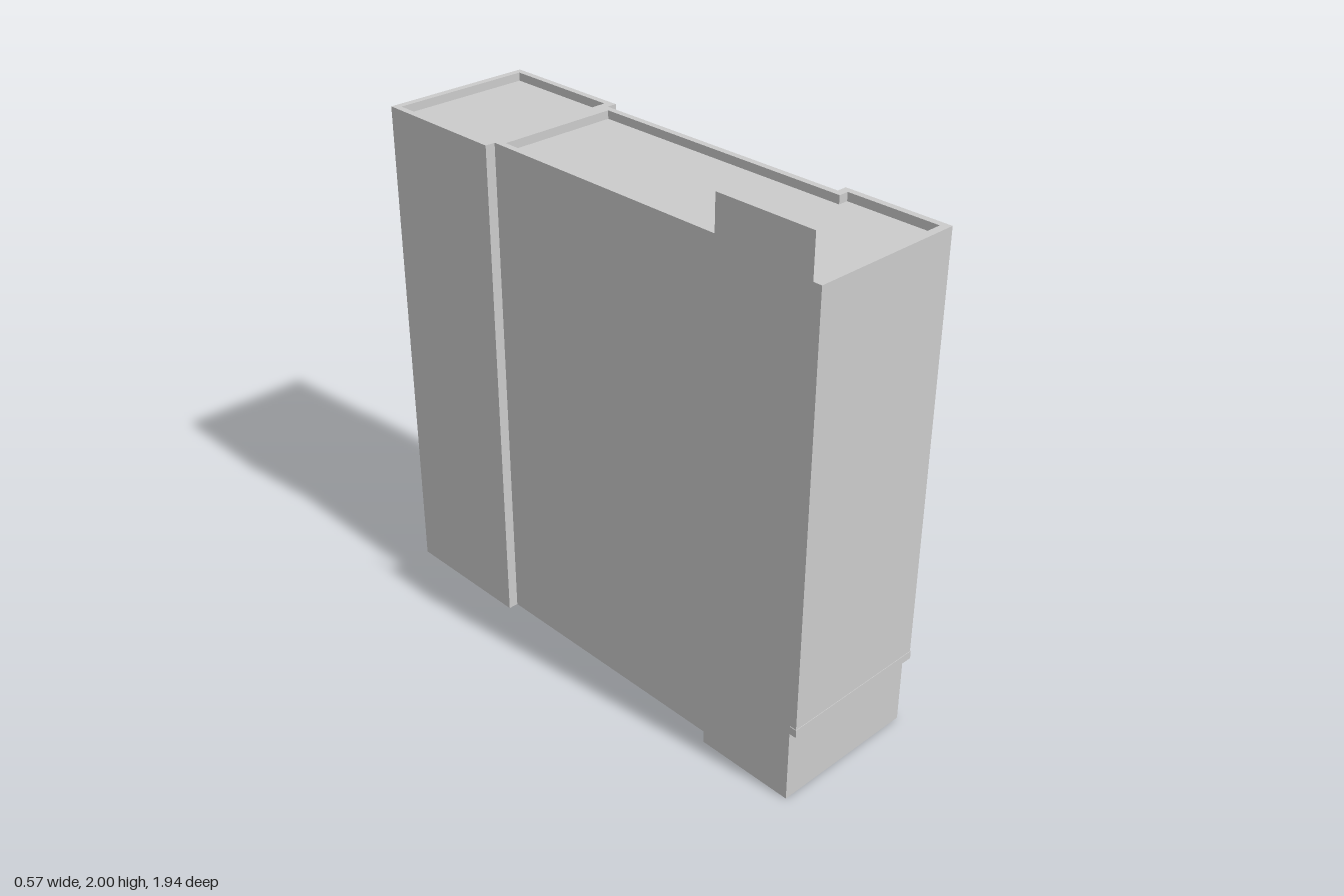
import * as THREE from 'three';

const H = 1.85;      // parapet top
const DECK = 1.82;   // recessed roof level
const material = new THREE.MeshStandardMaterial({ color: 0xcccccc, flatShading: true, side: THREE.DoubleSide });

// Upright wall along a list of [x, z] points, with no top or bottom.
function wallGeometry(points, y0, y1) {
  const positions = [];
  for (let i = 0; i + 1 < points.length; i++) {
    const [ax, az] = points[i];
    const [bx, bz] = points[i + 1];
    positions.push(ax, y0, az, bx, y0, bz, bx, y1, bz);
    positions.push(ax, y0, az, bx, y1, bz, ax, y1, az);
  }
  const geometry = new THREE.BufferGeometry();
  geometry.setAttribute('position', new THREE.Float32BufferAttribute(positions, 3));
  geometry.computeVertexNormals();
  return geometry;
}

// Level surface inside an [x, z] outline, with an optional opening.
function levelGeometry(outline, y, opening) {
  const toPlane = (list) => list.map(([x, z]) => new THREE.Vector2(x, -z));
  const shape = new THREE.Shape(toPlane(outline));
  if (opening) shape.holes.push(new THREE.Path(toPlane(opening)));
  return new THREE.ShapeGeometry(shape).rotateX(-Math.PI / 2).translate(0, y, 0);
}

const closed = (points) => [...points, points[0]];

// Mirrors a right-hand (+x) chain, front to back, into a full outline.
const mirrored = (half) => [...half, ...half.map(([x, z]) => [-x, z]).reverse()];

export function createModel() {
  const group = new THREE.Group();
  const add = (name, geometry) => {
    const mesh = new THREE.Mesh(geometry, material);
    mesh.name = name;
    group.add(mesh);
  };

  // Parapet rim, its inner faces and the sunken roof deck
  const addRoof = (name, outer, inner) => {
    add(name + 'ParapetTop', levelGeometry(outer, H, inner));
    add(name + 'ParapetInside', wallGeometry(closed(inner).reverse(), DECK, H));
    add(name + 'RoofDeck', levelGeometry(inner, DECK));
  };

  // Rear block: four walls, open underneath
  const rear = mirrored([[0.285, -0.458], [0.285, -0.971]]);
  add('rearWalls', wallGeometry(closed(rear), 0, H));
  addRoof('rear', rear, mirrored([[0.261, -0.49], [0.261, -0.945]]));

  // Front block and narrower middle block share one interior
  const mainHalf = (frontZ) => [[0.285, frontZ], [0.285, 0.57], [0.248, 0.57], [0.248, -0.458]];
  const half = mainHalf(0.945);
  const leftHalf = half.map(([x, z]) => [-x, z]).reverse();
  add('mainWalls', wallGeometry([...leftHalf, ...half], 0, H));
  addRoof('main', mirrored(mainHalf(0.971)),
    mirrored([[0.261, 0.943], [0.261, 0.598], [0.224, 0.598], [0.224, -0.43]]));

  // Facade projecting over the ground floor, with a lip along its lower edge
  add('frontFacade', wallGeometry(
    [[-0.285, 0.945], [-0.285, 0.971], [0.285, 0.971], [0.285, 0.945]], 0.3, H));
  add('facadeLip', new THREE.BoxGeometry(0.574, 0.03, 0.028).translate(0, 0.29, 0.959));

  // Thin upright panel above the side wall
  add('roofSidePanel', wallGeometry([[-0.285, 0.57], [-0.285, 0.94]], H, 2));

  return group;
}
